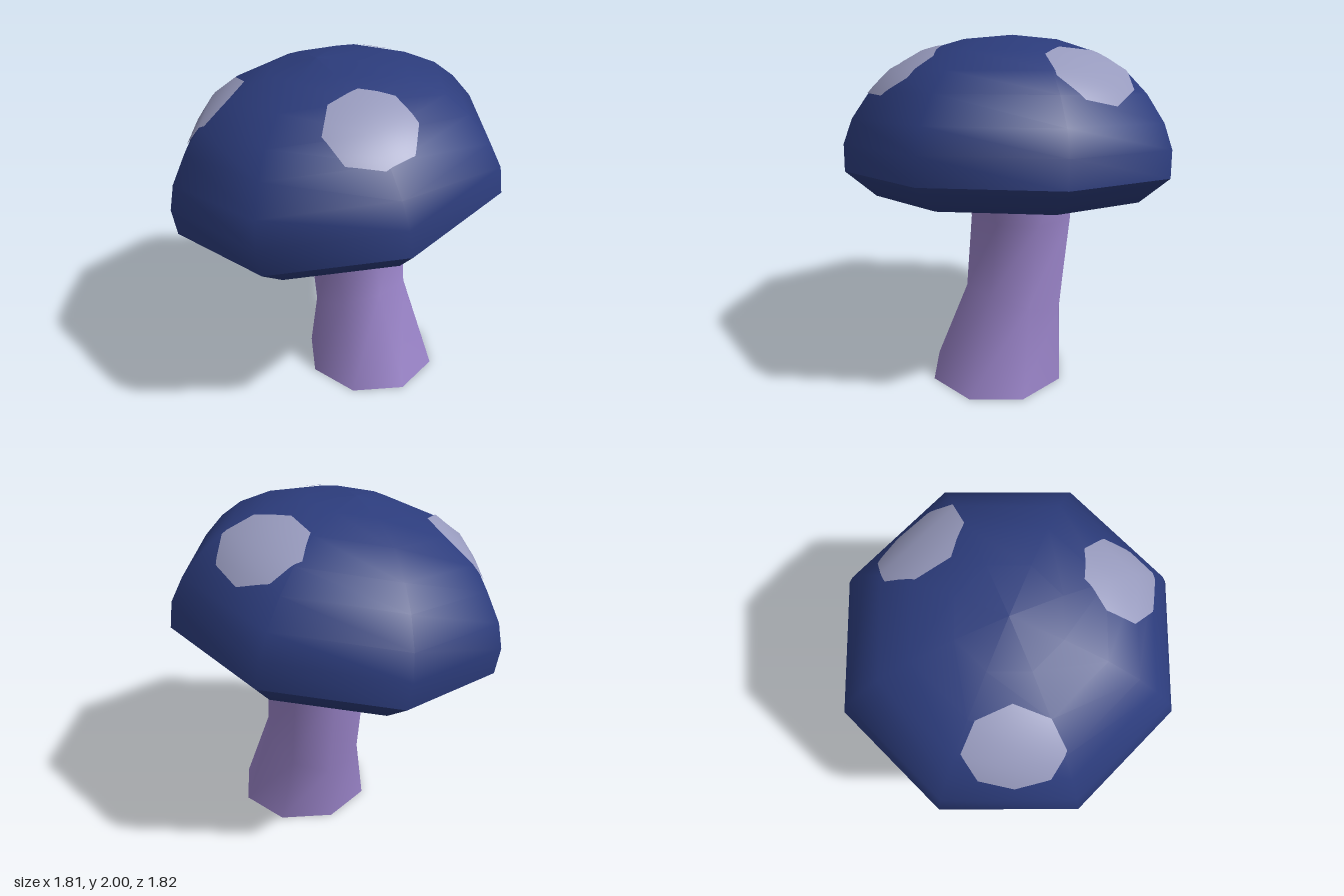
import * as THREE from 'three';

const SIDES = 8;
const CORNER = Math.cos(Math.PI / SIDES); // flat-to-corner ratio of an octagon
const BASE = { x: 0.21, y: 0, z: -0.12, r: 0.377, slope: 0, twist: 0.1 };

const mat = (color) => new THREE.MeshStandardMaterial({ color });

function addMesh(parent, name, geometry, material) {
  const mesh = new THREE.Mesh(geometry, material);
  mesh.name = name;
  parent.add(mesh);
  return mesh;
}

// Eight-sided turned form; profile radii are measured to the flats
function octLathe(profile) {
  const pts = profile.map(([r, y]) => new THREE.Vector2(r / CORNER, y));
  return new THREE.LatheGeometry(pts, SIDES, Math.PI / SIDES);
}

// Leaning stem lofted through octagonal rings: centre, radius, slope along x and twist
function stemGeometry() {
  const rings = [
    BASE,
    { x: 0.09, y: 0.455, z: -0.14, r: 0.272, slope: 0.39, twist: 0 },
    { x: 0.03, y: 0.99, z: -0.14, r: 0.285, slope: 0, twist: 0 },
    { x: 0.08, y: 1.24, z: -0.14, r: 0.29, slope: 0.1, twist: 0 },
  ];
  const pos = [], index = [];
  for (const { x, y, z, r, slope, twist } of rings) {
    for (let i = 0; i < SIDES; i++) {
      const a = ((i + 0.5) / SIDES) * Math.PI * 2 + twist;
      const dx = (Math.sin(a) * r) / CORNER;
      pos.push(x + dx, y + dx * slope, z + (Math.cos(a) * r) / CORNER);
    }
  }
  for (let k = 0; k < rings.length - 1; k++) {
    for (let i = 0; i < SIDES; i++) {
      const a = k * SIDES + i, b = k * SIDES + ((i + 1) % SIDES);
      index.push(a, b, b + SIDES, a, b + SIDES, a + SIDES);
    }
  }
  const g = new THREE.BufferGeometry();
  g.setAttribute('position', new THREE.Float32BufferAttribute(pos, 3));
  g.setIndex(index);
  g.computeVertexNormals();
  return g;
}

// Octagonal patch draped over the dome, sharing its smooth normals
function spotGeometry(dome, centre, normal, halfWidth, halfHeight) {
  const g = new THREE.RingGeometry(0, 1, 48, 8);
  const frame = new THREE.Object3D();
  frame.lookAt(normal);
  const p = g.attributes.position;
  const v = new THREE.Vector3();
  const n = new THREE.Vector3();
  const ray = new THREE.Raycaster();
  const inward = normal.clone().negate();
  const step = (Math.PI * 2) / SIDES;
  for (let i = 0; i < p.count; i++) {
    v.fromBufferAttribute(p, i);
    const a = (Math.atan2(v.y, v.x) + Math.PI * 2) % step;
    v.multiplyScalar(CORNER / Math.cos(a - step / 2));
    v.set(v.x * halfWidth, v.y * halfHeight, 0);
    v.applyQuaternion(frame.quaternion).add(centre);
    ray.set(v.clone().addScaledVector(normal, 1), inward);
    const hit = ray.intersectObject(dome)[0];
    v.copy(hit.point).addScaledVector(normal, 0.008);
    n.copy(hit.normal).transformDirection(dome.matrixWorld);
    p.setXYZ(i, v.x, v.y, v.z);
    g.attributes.normal.setXYZ(i, n.x, n.y, n.z);
  }
  return g;
}

export function createModel() {
  const model = new THREE.Group();
  model.name = 'mushroom';
  const capMat = mat(0x2c3c7c);
  const stemMat = mat(0x9882c6);
  const spotMat = mat(0x979abd);

  // Stem with flat base
  addMesh(model, 'stem', stemGeometry(), stemMat);
  const base = new THREE.CircleGeometry(BASE.r / CORNER, SIDES, Math.PI / SIDES);
  base.rotateX(Math.PI / 2).rotateY(BASE.twist).translate(BASE.x, BASE.y, BASE.z);
  addMesh(model, 'stemBase', base, stemMat);

  // Tilted cap: smooth dome above, bevelled rim running into a hollowed underside
  const cap = new THREE.Group();
  cap.name = 'cap';
  cap.position.set(0.01, 1.226, -0.011);
  cap.rotation.set(0.11, 0, 0.1);
  model.add(cap);
  const dome = addMesh(cap, 'dome', octLathe([
    [0.9, 0], [0.902, 0.155], [0.857, 0.295], [0.762, 0.448], [0.655, 0.562],
    [0.485, 0.67], [0.265, 0.742], [0, 0.772],
  ]), capMat);
  addMesh(cap, 'underside', octLathe([[0, -0.08], [0.74, -0.145], [0.9, 0]]), capMat);
  model.updateMatrixWorld(true);

  // Three pale spots
  const spots = [
    { name: 'frontRightSpot', at: [-0.46, 1.68, 0.49], n: [-0.5, 0.7, 0.52], w: 0.26, h: 0.25 },
    { name: 'leftSpot', at: [0.53, 1.8, 0.28], n: [0.53, 0.8, 0.28], w: 0.25, h: 0.25 },
    { name: 'backSpot', at: [-0.05, 1.84, -0.58], n: [-0.06, 0.72, -0.69], w: 0.278, h: 0.24 },
  ];
  for (const { name, at, n, w, h } of spots) {
    const normal = new THREE.Vector3(...n).normalize();
    const geometry = spotGeometry(dome, new THREE.Vector3(...at), normal, w, h);
    addMesh(model, name, geometry, spotMat);
  }
  return model;
}
